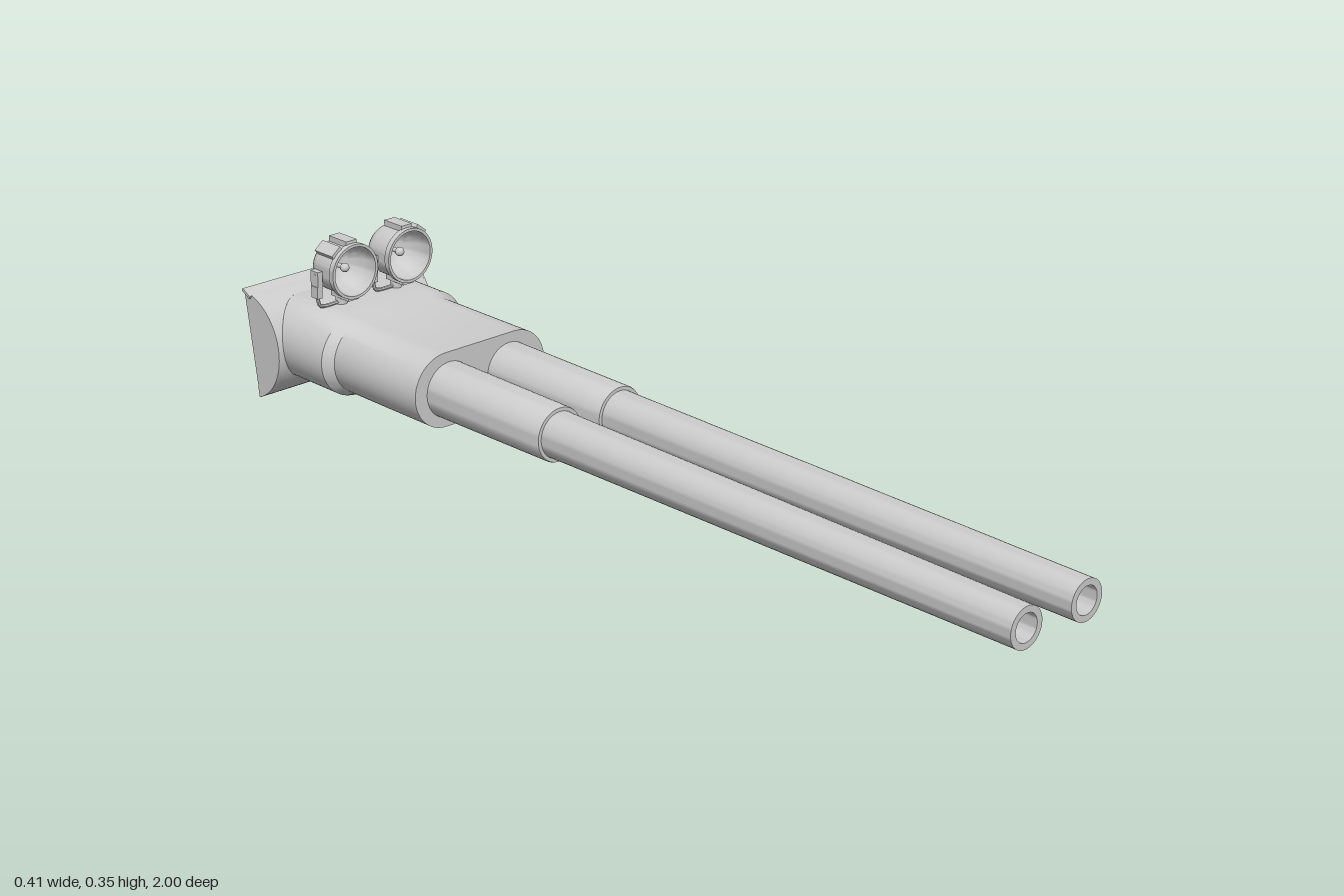
import * as THREE from 'three';
import { toCreasedNormals } from 'three/addons/utils/BufferGeometryUtils.js';

const steel = new THREE.MeshStandardMaterial({ color: 0xcccccc, side: THREE.DoubleSide });
steel.name = 'steel grey';

const CX = -0.005, CY = 0.1225;                  // centre of the twin housing
const CORE = 0.1, RADIUS = 0.0855;               // stadium outline of its rear part
const ARC = { z: -1.006, y: 0.1076, r: 0.1163 }; // side profile of the curved shield
const A0 = -1.181, A1 = 1.5;                     // bottom and top angles of that profile
const HALF = 0.2025;                             // half width of the shield

function add(parent, name, geometry, x = 0, y = 0, z = 0) {
  const mesh = new THREE.Mesh(toCreasedNormals(geometry, 0.6), steel);
  mesh.name = name;
  mesh.position.set(x, y, z);
  parent.add(mesh);
  return mesh;
}

// Surface through closed rings of equal length
function loft(rings) {
  const n = rings[0].length, pos = [], idx = [];
  rings.forEach(ring => ring.forEach(p => pos.push(p.x, p.y, p.z)));
  for (let k = 0; k < rings.length - 1; k++) {
    for (let i = 0; i < n; i++) {
      const a = k * n + i, b = k * n + (i + 1) % n;
      idx.push(a, b, b + n, a, b + n, a + n);
    }
  }
  const g = new THREE.BufferGeometry();
  g.setAttribute('position', new THREE.Float32BufferAttribute(pos, 3));
  g.setIndex(idx);
  return g;
}

// Round part with its axis along z, profile as [radius, z]
function turned(profile, sides = 40) {
  const g = new THREE.LatheGeometry(profile.map(p => new THREE.Vector2(...p)), sides);
  return g.rotateX(Math.PI / 2);
}

const arcAngle = y => Math.asin(THREE.MathUtils.clamp((y - ARC.y) / ARC.r, -1, 1));
const arcZ = y => ARC.z + ARC.r * Math.cos(arcAngle(y));
const arcPoint = (x, a) => new THREE.Vector3(x, ARC.y + ARC.r * Math.sin(a), ARC.z + ARC.r * Math.cos(a));

// Stadium outline, counter-clockwise seen from the front
function stadium(c, r, zAt) {
  const ring = [], N = 24;
  for (const side of [1, -1]) {
    for (let i = 0; i <= N; i++) {
      const a = -Math.PI / 2 + Math.PI * i / N;
      const x = CX + side * (c + r * Math.cos(a)), y = CY + side * r * Math.sin(a);
      ring.push(new THREE.Vector3(x, y, zAt(y)));
    }
  }
  return ring;
}

// Housing shared by both barrels, its rear edge following the curved shield
function buildHousing(group) {
  const at = z => () => z;
  add(group, 'housing', loft([
    stadium(CORE, RADIUS, arcZ),
    stadium(CORE, RADIUS, at(-0.765)),
    stadium(0.0905, 0.078, at(-0.745)),
    stadium(0.0905, 0.078, at(-0.49)),
    stadium(0.0905, 0, at(-0.49)),
  ]));
  // Curved panel closing the rear, slightly recessed
  const rings = [];
  for (let k = 0; k <= 8; k++) rings.push(stadium(CORE, (RADIUS - 0.0005) * k / 8, y => arcZ(y) + 0.02));
  add(group, 'rearPanel', loft(rings));
}

// Curved shield with an opening for the housing, end plates and rims
function buildShield(group) {
  const shield = new THREE.Group();
  shield.name = 'shield';
  const border = [], N = 20;
  const corners = [[-HALF, A0], [HALF, A0], [HALF, A1], [-HALF, A1]];
  corners.forEach(([x, a], k) => {
    const [x2, a2] = corners[(k + 1) % 4];
    for (let i = 0; i < N; i++) border.push([x + (x2 - x) * i / N, a + (a2 - a) * i / N]);
  });
  const rings = [];
  for (let k = 0; k <= 8; k++) {
    rings.push(border.map(([x, a]) => {
      const y = ARC.y + ARC.r * Math.sin(a);
      const coreX = THREE.MathUtils.clamp(x, CX - CORE, CX + CORE);
      const d = new THREE.Vector2(x - coreX, y - CY).setLength(RADIUS);
      return arcPoint(
        THREE.MathUtils.lerp(x, coreX + d.x, k / 8),
        THREE.MathUtils.lerp(a, arcAngle(CY + d.y), k / 8));
    }));
  }
  add(shield, 'shieldFace', loft(rings));

  // End plates: arc closed by a straight rear edge
  const outline = [];
  for (let i = 0; i <= 24; i++) {
    const p = arcPoint(0, A0 + (A1 - A0) * i / 24);
    outline.push(new THREE.Vector2(-p.z, p.y));
  }
  for (const s of [1, -1]) {
    const plate = new THREE.ExtrudeGeometry(new THREE.Shape(outline), { depth: 0.004, bevelEnabled: false });
    plate.translate(0, 0, -0.002).rotateY(Math.PI / 2);
    add(shield, 'endPlate', plate, s * (HALF - 0.002), 0, 0);
  }
  add(shield, 'topLip', new THREE.BoxGeometry(0.413, 0.006, 0.026), -0.001, 0.2215, -0.987).rotation.x = 0.5;
  add(shield, 'bottomRim', new THREE.BoxGeometry(2 * HALF, 0.02, 0.004), 0, 0.0105, -0.9625).rotation.x = -0.16;
  group.add(shield);
}

// Tapered hollow barrel with a thicker sleeve at its root
function buildBarrel(group, x) {
  const barrel = new THREE.Group();
  barrel.name = 'barrel';
  barrel.position.set(x, 0.121, 0);
  add(barrel, 'barrelTube', turned([
    [0.048, -0.2], [0.047, -0.1], [0.0405, 1], [0.0275, 1], [0.0275, 0.8], [0, 0.8],
  ]));
  add(barrel, 'barrelSleeve', turned([
    [0.0585, -0.495], [0.0565, -0.17], [0.055, -0.165], [0.046, -0.165],
  ]));
  group.add(barrel);
}

// Open searchlight on a forked bracket; out is the outward side
function buildLamp(group, x, out) {
  const lamp = new THREE.Group();
  lamp.name = 'searchlight';
  lamp.position.set(x, 0.2875, -0.84);
  const dish = [];
  for (let i = 0; i <= 14; i++) {
    const a = Math.PI / 2 * i / 14;
    dish.push([0.052 * Math.cos(a), 0.05 - 0.075 * Math.sin(a)]);
  }
  add(lamp, 'lampCase', turned([
    [0, -0.046], [0.018, -0.0445], [0.034, -0.04], [0.043, -0.034], [0.05, -0.025], [0.053, -0.013],
    [0.053, 0.036], [0.058, 0.037], [0.058, 0.05], ...dish,
  ]));
  add(lamp, 'bulb', new THREE.SphereGeometry(0.0095, 16, 12), 0, 0, 0.015);
  add(lamp, 'bulbStem', turned([[0.005, -0.024], [0.005, 0.015]], 12));

  // Clips around the case
  for (const a of [Math.PI / 2, Math.PI / 2 - out * 0.68, -Math.PI / 2]) {
    const clip = add(lamp, 'clip', new THREE.BoxGeometry(0.012, 0.027, 0.056),
      Math.cos(a) * 0.058, Math.sin(a) * 0.058, 0.012);
    clip.rotation.z = a;
  }

  // Fork arms, pivots and foot
  for (const s of [1, -1]) {
    add(lamp, 'pivotBlock', new THREE.BoxGeometry(0.012, 0.032, 0.024), s * 0.061, -0.012, 0);
    add(lamp, 'armBlock', new THREE.BoxGeometry(0.013, 0.025, 0.02), s * 0.0615, -0.041, 0);
    const pivot = new THREE.CylinderGeometry(0.005, 0.005, 0.015, 12).rotateZ(Math.PI / 2);
    add(lamp, 'pivotPin', pivot, s * 0.06, -0.005, 0);
    const path = new THREE.CatmullRomCurve3([[0.0605, -0.04], [0.059, -0.062], [0.055, -0.072], [0.045, -0.0755], [0, -0.0755]]
      .map(([px, py]) => new THREE.Vector3(s * px, py, 0)));
    add(lamp, 'forkArm', new THREE.TubeGeometry(path, 20, 0.004, 8));
  }
  add(lamp, 'foot', new THREE.CylinderGeometry(0.012, 0.012, 0.016, 16), 0, -0.0715, 0);
  group.add(lamp);
}

export function createModel() {
  const group = new THREE.Group();
  group.name = 'twinGunMount';
  buildHousing(group);
  buildShield(group);
  for (const x of [-0.085, 0.0715]) buildBarrel(group, x);
  buildLamp(group, -0.076, -1);
  buildLamp(group, 0.0675, 1);
  return group;
}
